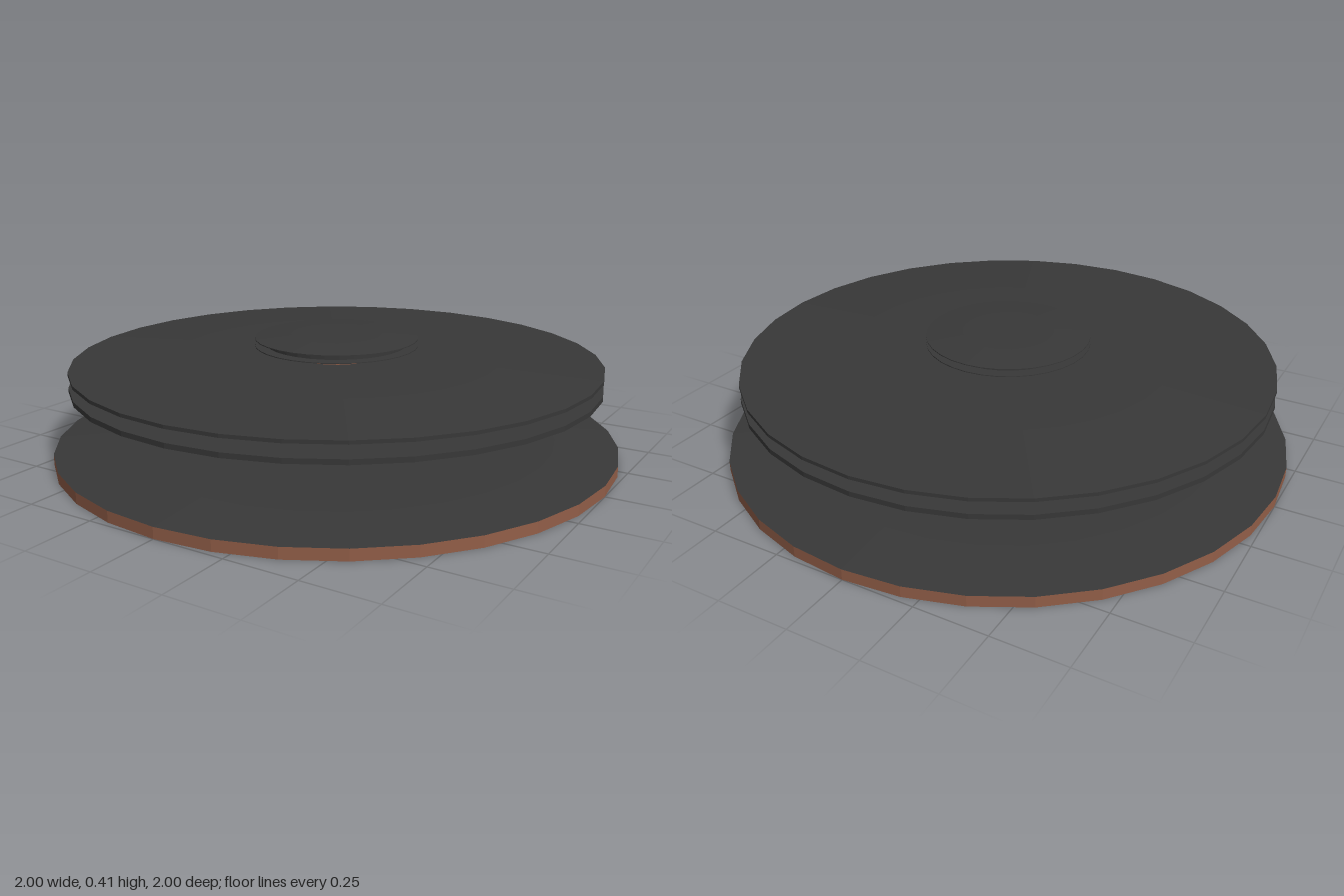
import * as THREE from 'three';

const SIDES = 32;

export function createModel() {
  const model = new THREE.Group();
  const charcoal = new THREE.MeshStandardMaterial({ name: 'charcoal', color: 0x383838, flatShading: true });
  const copper = new THREE.MeshStandardMaterial({ name: 'copperBrown', color: 0x925e48, flatShading: true });

  // Profiles are [radius, height] pairs running from the bottom up
  const turn = (name, material, profile) => {
    const points = profile.map(([r, y]) => new THREE.Vector2(r, y));
    const mesh = new THREE.Mesh(new THREE.LatheGeometry(points, SIDES), material);
    mesh.name = name;
    model.add(mesh);
  };

  // Base plate: dark faces with a copper rim
  turn('baseUnderside', charcoal, [[0, 0], [1, 0]]);
  turn('baseRim', copper, [[1, 0], [1, 0.038]]);
  turn('baseTop', charcoal, [[1, 0.038], [0.78, 0.055], [0, 0.055]]);

  // Floating disc: two thin flanges around a recessed copper band
  turn('lowerFlange', charcoal, [[0, 0.25], [0.78, 0.25], [0.935, 0.255], [0.935, 0.272], [0.82, 0.276]]);
  turn('discBand', copper, [[0.82, 0.276], [0.82, 0.311]]);
  turn('upperFlange', charcoal, [[0.82, 0.311], [0.935, 0.314], [0.935, 0.326], [0.58, 0.341], [0, 0.341]]);

  // Knob: copper stem and a grooved dark cap
  turn('knobStem', copper, [[0.17, 0.341], [0.17, 0.367]]);
  turn('knobCap', charcoal, [
    [0, 0.367], [0.2, 0.367], [0.29, 0.374], [0.29, 0.377], [0.25, 0.378],
    [0.25, 0.399], [0.29, 0.4], [0.29, 0.403], [0.16, 0.414], [0, 0.414],
  ]);

  return model;
}
